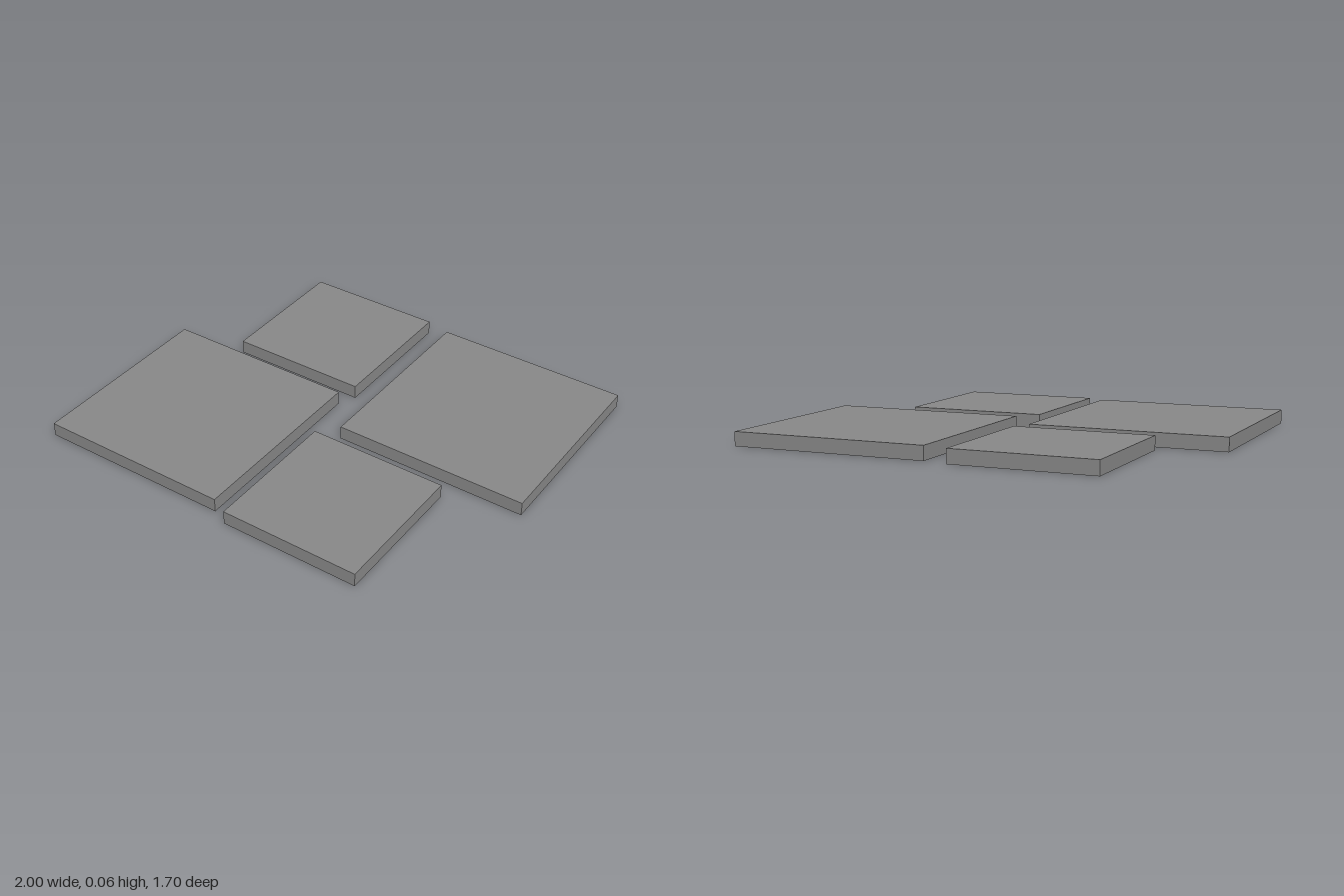
import * as THREE from 'three';

const THICKNESS = 0.065;
const LARGE = 0.922;
const SMALL = 0.66;

export function createModel() {
  const group = new THREE.Group();
  group.name = 'floatingTiles';
  const material = new THREE.MeshStandardMaterial({ color: 0x878787 });

  // Four square slabs in a pinwheel layout: name, side, centre x, centre z
  const slabs = [
    ['largeSlabLeft', LARGE, 0.539, -0.361],
    ['largeSlabRight', LARGE, -0.539, 0.35],
    ['smallSlabBack', SMALL, -0.369, -0.52],
    ['smallSlabFront', SMALL, 0.33, 0.52],
  ];
  for (const [name, side, x, z] of slabs) {
    const slab = new THREE.Mesh(new THREE.BoxGeometry(side, THICKNESS, side), material);
    slab.name = name;
    slab.position.set(x, THICKNESS / 2, z);
    group.add(slab);
  }
  return group;
}
